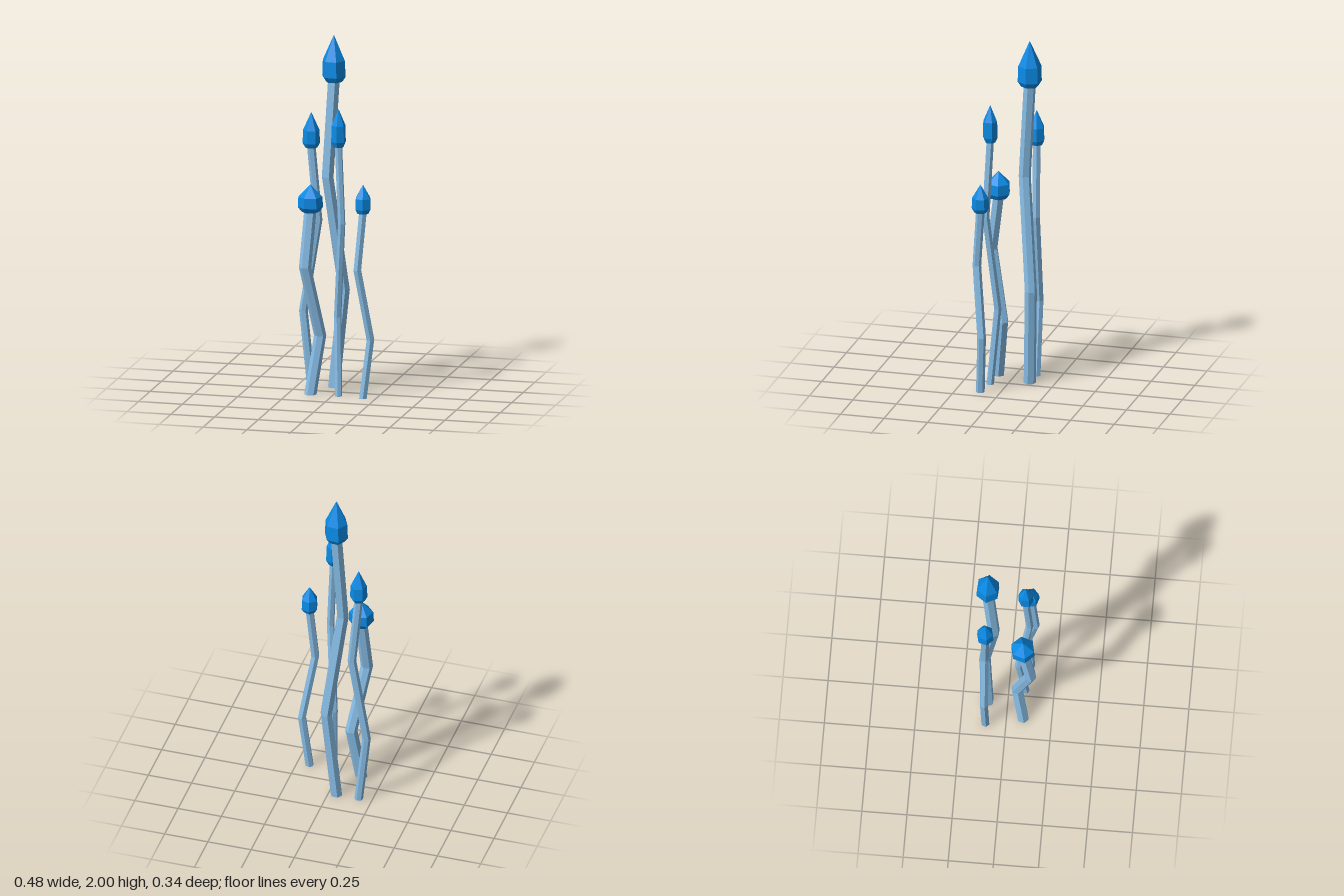
import * as THREE from 'three';

const SIDES = 6;

// Skin a stack of horizontal hexagons; each ring is [x, y, z, radius], radius 0 closes an end.
function loft(rings, turn) {
  const pos = [];
  const point = ([x, y, z, r], i) => {
    const a = turn + (i / SIDES) * Math.PI * 2;
    return [x + r * Math.cos(a), y, z + r * Math.sin(a)];
  };
  for (let j = 0; j < rings.length - 1; j++) {
    const lo = rings[j], hi = rings[j + 1];
    for (let i = 0; i < SIDES; i++) {
      const a = point(lo, i), b = point(lo, i + 1), c = point(hi, i), d = point(hi, i + 1);
      if (lo[3] > 0) pos.push(...a, ...c, ...b);
      if (hi[3] > 0) pos.push(...b, ...c, ...d);
    }
  }
  const geo = new THREE.BufferGeometry();
  geo.setAttribute('position', new THREE.Float32BufferAttribute(pos, 3));
  geo.computeVertexNormals(); // unshared corners give flat facets
  return geo;
}

// base: [x, z]; bends: [x, y, z]; cap: heights of bottom, shoulder, upper edge and tip
const STALKS = [
  { name: 'tallStalk', base: [-0.045, -0.111], r: 0.034, capR: 0.068, turn: 4,
    bends: [[0.007, 0.555, -0.132], [-0.071, 1.2, -0.075]], cap: [1.735, 1.765, 1.855, 2.0] },
  { name: 'wideStalk', base: [-0.126, 0.091], r: 0.034, capR: 0.07, turn: -13,
    bends: [[-0.08, 0.33, 0.054], [-0.145, 0.73, 0.134]], cap: [1.037, 1.065, 1.123, 1.192] },
  { name: 'rightBackStalk', base: [-0.175, -0.114], r: 0.024, capR: 0.048, turn: -14,
    bends: [[-0.221, 0.425, -0.118], [-0.138, 0.94, -0.121]], cap: [1.352, 1.378, 1.452, 1.553] },
  { name: 'thinStalk', base: [0.035, 0.093], r: 0.021, capR: 0.042, turn: 30,
    bends: [[0.02, 0.44, 0.054], [0.058, 0.985, 0.112]], cap: [1.415, 1.445, 1.537, 1.632] },
  { name: 'leftStalk', base: [0.179, 0.109], r: 0.024, capR: 0.048, turn: 17,
    bends: [[0.217, 0.33, 0.091], [0.154, 0.73, 0.136]], cap: [1.05, 1.075, 1.135, 1.213] },
];

export function createModel() {
  const stemMat = new THREE.MeshStandardMaterial({ color: 0x8cc4ee });
  stemMat.name = 'paleBlueStem';
  const capMat = new THREE.MeshStandardMaterial({ color: 0x0a8be6 });
  capMat.name = 'brightBlueCap';

  const model = new THREE.Group();
  model.name = 'stalkCluster';

  for (const { name, base: [x, z], r, capR, turn, bends, cap } of STALKS) {
    const angle = THREE.MathUtils.degToRad(turn);
    const stalk = new THREE.Group();
    stalk.name = name;

    // crooked stem, closed underneath, ending just inside the cap
    const stem = new THREE.Mesh(loft([
      [x, 0, z, 0],
      [x, 0, z, r],
      ...bends.map((b) => [...b, r]),
      [x, cap[0] + 0.01, z, r],
    ], angle), stemMat);
    stem.name = 'stem';

    // pointed cap with a bevelled underside
    const radii = [0.7, 1, 0.95, 0].map((k) => k * capR);
    const tip = new THREE.Mesh(loft([
      [x, cap[0], z, 0],
      ...cap.map((y, i) => [x, y, z, radii[i]]),
    ], angle), capMat);
    tip.name = 'cap';

    stalk.add(stem, tip);
    model.add(stalk);
  }
  return model;
}
